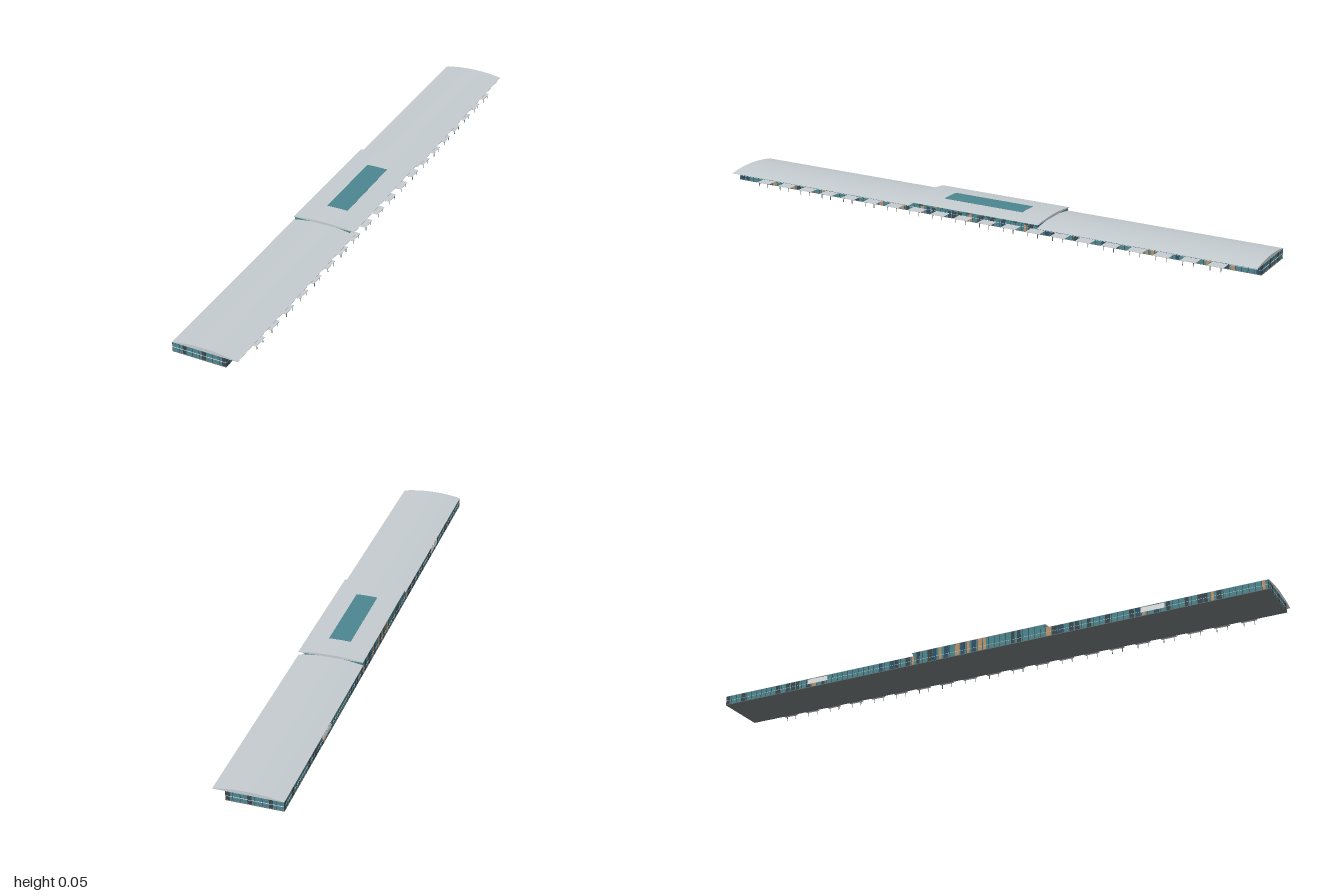
import * as THREE from 'three';
import { mergeGeometries } from 'three/addons/utils/BufferGeometryUtils.js';

const mat = (name, color) => {
  const m = new THREE.MeshStandardMaterial({ color });
  m.name = name;
  return m;
};

export function createModel() {
  const model = new THREE.Group();
  const M = {
    roof: mat('roofGrey', 0xc3cace),
    glass: mat('tealGlass', 0x4b858f),
    dark: mat('darkPanel', 0x3a474c),
    navy: mat('navyPanel', 0x2d4f68),
    tan: mat('tanPanel', 0xb5946e),
    light: mat('paleTrim', 0xd3d7d8),
    white: mat('whiteBoard', 0xf2f4f4),
    base: mat('baseGrey', 0x6e7476),
  };

  let seed = 17;
  const rand = () => (seed = (seed * 16807) % 2147483647) / 2147483647;

  // Box from its limits
  const box = (x0, x1, y0, y1, z0, z1) =>
    new THREE.BoxGeometry(x1 - x0, y1 - y0, z1 - z0)
      .translate((x0 + x1) / 2, (y0 + y1) / 2, (z0 + z1) / 2);
  const add = (name, geometry, material) => {
    const mesh = new THREE.Mesh(geometry, material);
    mesh.name = name;
    model.add(mesh);
  };

  const X0 = -0.109, X1 = 0.07, EAVE = 0.0325, TOP = 0.045, MID = 0.245, END = 0.998;

  // Glazed halls and floor slab
  add('lowerHall', box(X0, X1, 0.002, EAVE, -END, END), M.glass);
  add('upperHall', box(X0, 0.09, EAVE, TOP, -MID + 0.002, MID - 0.002), M.glass);
  add('floorSlab', box(X0 - 0.001, X1 + 0.001, 0, 0.002, -1, 1), M.base);

  // Vaulted roofs: a shallow arc above a flat soffit, or a thin curved sheet when bottom is null
  const vault = (y0, rise, xa, xb, bottom, z0, z1) => {
    const s = new THREE.Shape();
    const n = 24;
    const arc = (x) => y0 + rise * (1 - (x / 0.11) ** 2);
    s.moveTo(xa, bottom ?? arc(xa) - 0.001);
    if (bottom === null) {
      for (let i = 1; i < n; i++) {
        const x = xa + ((xb - xa) * i) / n;
        s.lineTo(x, arc(x) - 0.001);
      }
    }
    s.lineTo(xb, bottom ?? arc(xb) - 0.001);
    for (let i = n; i >= 0; i--) {
      const x = xa + ((xb - xa) * i) / n;
      s.lineTo(x, arc(x));
    }
    return new THREE.ExtrudeGeometry(s, { depth: z1 - z0, bevelEnabled: false }).translate(0, 0, z0);
  };
  add('frontWingRoof', vault(EAVE + 0.001, 0.0112, -0.11, 0.11, EAVE, MID, 1), M.roof);
  add('backWingRoof', vault(EAVE + 0.001, 0.0112, -0.11, 0.11, EAVE, -1, -MID), M.roof);
  add('centreRoof', vault(TOP + 0.001, 0.0078, -0.11, 0.11, TOP, -MID - 0.003, MID + 0.003), M.roof);
  add('skylight', vault(TOP + 0.0016, 0.0078, -0.037, 0.037, null, -0.15, 0.15), M.glass);

  // Facade details, gathered by colour
  const parts = { dark: [], navy: [], tan: [], light: [], white: [] };
  const P = 0.001;
  const onSide = (x, key, z0, z1, y0, y1, p = P) =>
    parts[key].push(box(x - p, x + p, y0, y1, z0, z1));
  const onEnd = (z, key, x0, x1, y0, y1, p = P) =>
    parts[key].push(box(x0, x1, y0, y1, z - p, z + p));

  // Bay colour: the centre carries more coloured panels than the wings
  const pick = (centre) => {
    const r = rand();
    const [d, n, t] = centre ? [0.2, 0.4, 0.6] : [0.18, 0.32, 0.44];
    return r < d ? 'dark' : r < n ? 'navy' : r < t ? 'tan' : null;
  };

  // Long facades: mullions, full-height coloured bays and a floor band
  const bays = 96, w = (2 * END) / bays;
  for (const x of [X0, X1]) {
    for (let i = 0; i < bays; i++) {
      const z = -END + i * w;
      const centre = Math.abs(z + w / 2) < MID - 0.01;
      const wallTop = centre && x === X0 ? TOP : EAVE;
      onSide(x, 'dark', z, z + 0.0012, 0.002, wallTop, P * 1.2);
      const key = pick(centre);
      if (key) onSide(x, key, z + 0.0012, z + w * (0.55 + 0.4 * rand()), 0.002, wallTop, P * 0.8);
    }
    onSide(x, 'light', -END, END, 0.0155, 0.0165, P * 1.1);
  }

  // Upper hall glazing above the entrance side
  for (let i = 0; i < 24; i++) {
    const z = -MID + 0.004 + i * 0.0203;
    onSide(0.09, 'dark', z, z + 0.0012, EAVE, TOP);
    const key = pick(true);
    if (key) onSide(0.09, key, z + 0.0012, z + 0.0125, EAVE, TOP, P * 0.8);
  }

  // Gable ends: eight bays with three solid panels
  for (const z of [-END, END]) {
    for (let i = 0; i <= 8; i++) {
      const x = X0 + (i * (X1 - X0)) / 8;
      onEnd(z, 'dark', x - 0.0005, x + 0.0005, 0.002, EAVE, P * 1.2);
    }
    for (const x of [-0.075, -0.01, 0.057]) onEnd(z, 'dark', x, x + 0.0125, 0.002, EAVE, P * 0.8);
    onEnd(z, 'light', X0, X1, 0.0152, 0.0166, P * 1.3);
  }

  // White wall boards on the rear side
  for (const s of [-1, 1]) onSide(X0, 'white', s * 0.62 - 0.04, s * 0.62 + 0.04, 0.013, 0.03, 0.0018);

  for (const key of Object.keys(parts)) add(key + 'FacadePanels', mergeGeometries(parts[key]), M[key]);

  // Row of entrance canopies on slim posts
  const plates = [], posts = [];
  for (let i = 0; i < 20; i++) {
    const z = (i - 9.5) * 0.091;
    plates.push(box(X1, 0.109, 0.0145, 0.0158, z - 0.026, z + 0.026));
    for (const s of [-1, 1]) {
      const zp = z + s * 0.018;
      posts.push(box(0.1058, 0.1074, 0, 0.0145, zp - 0.0008, zp + 0.0008));
      posts.push(box(0.0915, 0.0925, 0.008, 0.0145, zp - 0.0006, zp + 0.0006));
      posts.push(box(0.092, 0.1065, 0.0105, 0.0113, zp - 0.0005, zp + 0.0005));
    }
  }
  add('entranceCanopies', mergeGeometries(plates), M.roof);
  add('canopyPosts', mergeGeometries(posts), M.base);

  return model;
}
